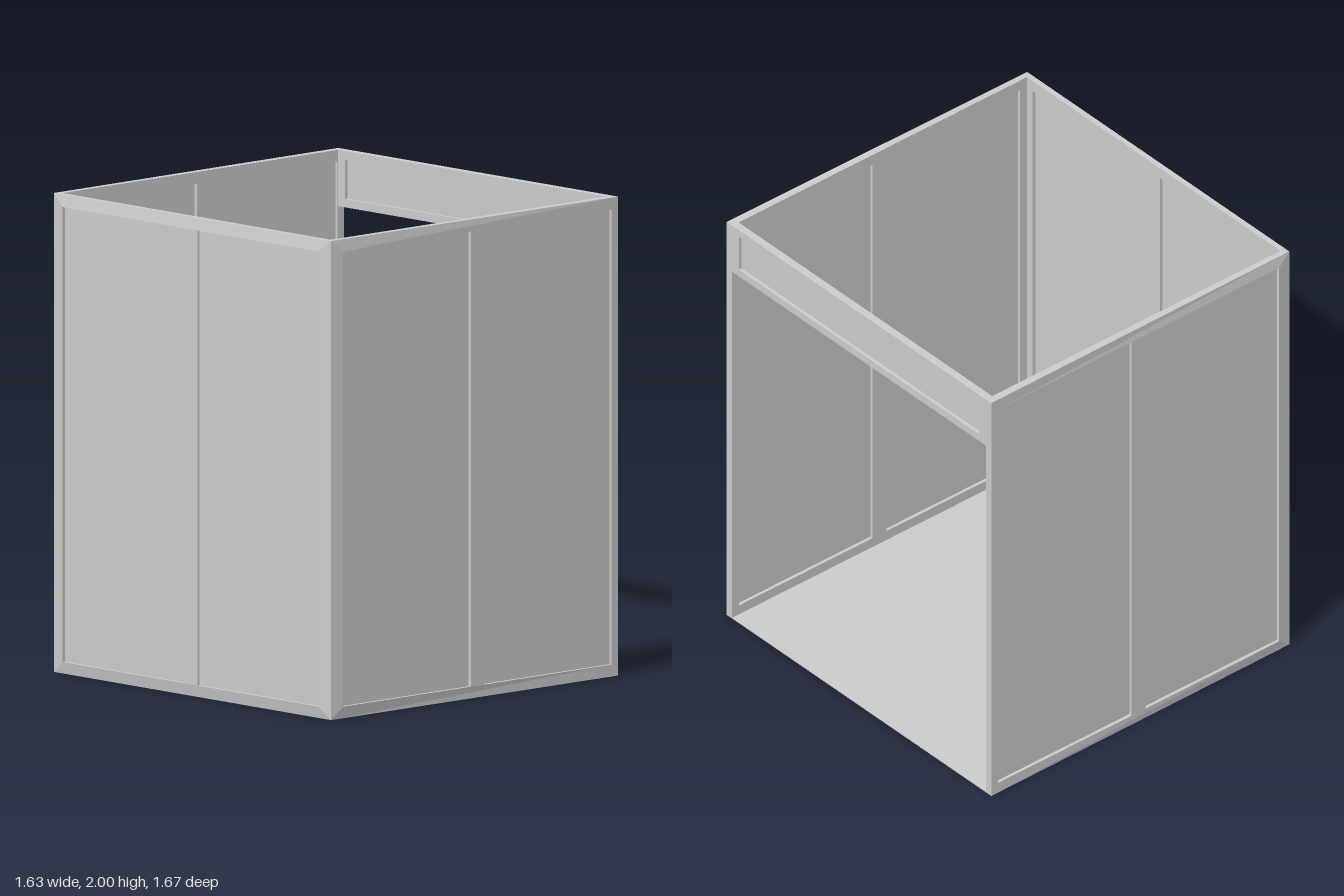
import * as THREE from 'three';

const grey = new THREE.MeshStandardMaterial({ color: 0xcccccc });
grey.name = 'plain grey';

const H = 2, T = 0.035;          // height, wall thickness
const HX = 0.817, HZ = 0.837;    // half width, half depth
const RECESS = 0.014;            // panel set-back on both faces

const ring = (path, [x0, x1, y0, y1]) => {
  path.moveTo(x0, y0);
  path.lineTo(x1, y0);
  path.lineTo(x1, y1);
  path.lineTo(x0, y1);
  path.closePath();
  return path;
};

// A frame facing +z with its outer face at z = face, plus a recessed panel in each hole.
// bend(x, outer) may return a new [x, z] for a frame corner.
function framedWall(name, outline, holes, face, bend = () => null) {
  const group = new THREE.Group();
  group.name = name;
  const shape = ring(new THREE.Shape(), outline);
  shape.holes = holes.map((h) => ring(new THREE.Path(), h));
  const geo = new THREE.ExtrudeGeometry(shape, { depth: T, bevelEnabled: false });
  geo.translate(0, 0, face - T);
  const p = geo.attributes.position;
  for (let i = 0; i < p.count; i++) {
    const moved = bend(p.getX(i), p.getZ(i) > face - T / 2);
    if (moved) p.setXYZ(i, moved[0], p.getY(i), moved[1]);
  }
  geo.computeVertexNormals();
  const frame = new THREE.Mesh(geo, grey);
  frame.name = name + 'Frame';
  group.add(frame);
  for (const [x0, x1, y0, y1] of holes) {
    const panel = new THREE.Mesh(new THREE.BoxGeometry(x1 - x0, y1 - y0, T - 2 * RECESS), grey);
    panel.position.set((x0 + x1) / 2, (y0 + y1) / 2, face - T / 2);
    panel.name = name + 'Panel';
    group.add(panel);
  }
  return group;
}

export function createModel() {
  const model = new THREE.Group();
  model.name = 'openBooth';

  // Front and rear walls: two tall panels each, mitred and eased at the closed end
  const sideBend = (x, outer) =>
    x > -0.81 ? null : outer ? [-HX + 0.01, HZ - 0.008] : [-HX + T, HZ - T];
  const sideHoles = [[-0.745, -0.02, 0.05, 1.95], [0.055, 0.78, 0.05, 1.95]];
  for (const front of [true, false]) {
    const wall = framedWall(front ? 'frontWall' : 'rearWall', [-HX, HX, 0, H], sideHoles, HZ, sideBend);
    if (!front) {
      wall.rotation.x = Math.PI;
      wall.position.y = H;
    }
    model.add(wall);
  }

  // Closed end wall, opposite the opening
  const endBend = (x, outer) => {
    if (Math.abs(x) < 0.81) return null;
    const s = Math.sign(x);
    return outer ? [s * (HZ - 0.008), HX - 0.01] : [s * (HZ - T), HX - T];
  };
  const endHoles = [[-0.765, -0.04, 0.05, 1.95], [0.04, 0.765, 0.05, 1.95]];
  const endWall = framedWall('endWall', [-HZ, HZ, 0, H], endHoles, HX, endBend);
  endWall.rotation.y = -Math.PI / 2;
  model.add(endWall);

  // Header over the opening
  const header = framedWall('header', [-HZ + T, HZ - T, 1.765, H], [[-0.76, 0.76, 1.8, 1.965]], HX);
  header.rotation.y = Math.PI / 2;
  model.add(header);

  // Thin floor between the walls
  const floor = new THREE.Mesh(new THREE.BoxGeometry(2 * HX - T, 0.005, 2 * (HZ - T)), grey);
  floor.position.set(T / 2, 0.0025, 0);
  floor.name = 'floor';
  model.add(floor);

  return model;
}
